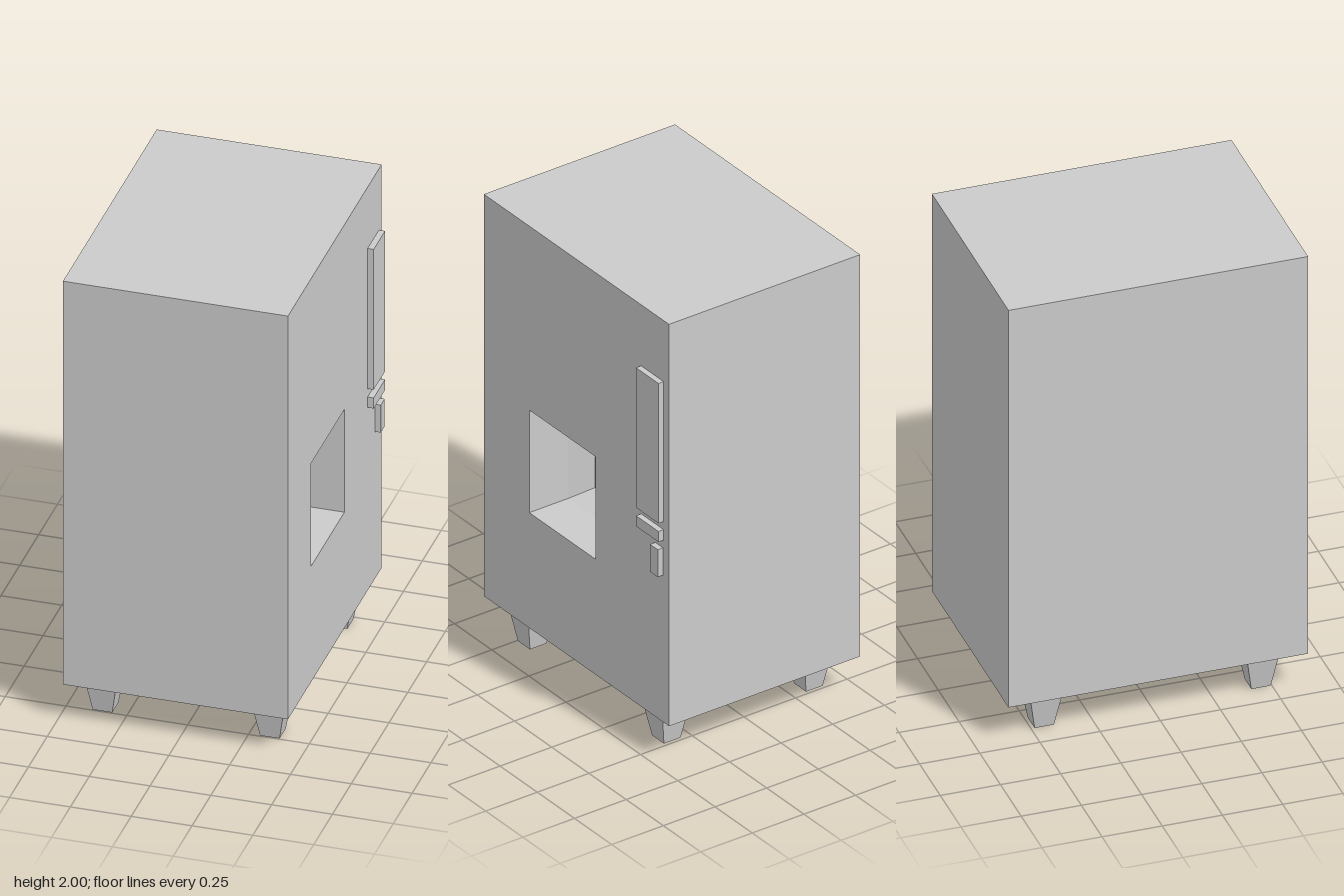
import * as THREE from 'three';
import { mergeGeometries } from 'three/addons/utils/BufferGeometryUtils.js';

const BOTTOM = 0.17, TOP = 2, BACK_X = -0.475, FACE_X = 0.45, HALF_Z = 0.622;

// Side-face drawings use u = -z, v = y, w = x, then turn onto the +x side
const rect = ([u0, v0, u1, v1]) => [[u0, v0], [u1, v0], [u1, v1], [u0, v1]];

// Quads joining nested rectangles, facing into the niche, closed by a back wall
function nicheGeometry(rings) {
  const corners = rings.map(({ r, depth }) => rect(r).map(([u, v]) => [u, v, FACE_X - depth]));
  const pos = [];
  const quad = (a, b, c, d) => pos.push(...a, ...b, ...c, ...a, ...c, ...d);
  for (let i = 0; i < corners.length - 1; i++) {
    const p = corners[i], q = corners[i + 1];
    for (let k = 0; k < 4; k++) {
      const n = (k + 1) % 4;
      quad(p[k], p[n], q[n], q[k]);
    }
  }
  quad(...corners[corners.length - 1]);
  const g = new THREE.BufferGeometry();
  g.setAttribute('position', new THREE.Float32BufferAttribute(pos, 3));
  g.computeVertexNormals();
  return g.rotateY(Math.PI / 2);
}

export function createModel() {
  const group = new THREE.Group();
  const material = new THREE.MeshStandardMaterial({ color: 0xcccccc });
  const add = (name, geometry, x = 0, y = 0, z = 0) => {
    const mesh = new THREE.Mesh(geometry, material);
    mesh.name = name;
    mesh.position.set(x, y, z);
    group.add(mesh);
    return mesh;
  };

  // Cabinet: a box whose +x side is replaced by a panel with an opening
  const opening = [-0.317, 0.695, 0.128, 1.162];
  const box = new THREE.BoxGeometry(FACE_X - BACK_X, TOP - BOTTOM, 2 * HALF_Z);
  box.setIndex(Array.from(box.index.array).slice(6));
  box.translate((FACE_X + BACK_X) / 2, (TOP + BOTTOM) / 2, 0);
  const toPoints = (r) => rect(r).map(([u, v]) => new THREE.Vector2(u, v));
  const side = new THREE.Shape(toPoints([-HALF_Z, BOTTOM, HALF_Z, TOP]));
  side.holes.push(new THREE.Path(toPoints(opening)));
  const face = new THREE.ShapeGeometry(side).translate(0, 0, FACE_X).rotateY(Math.PI / 2);
  add('cabinet', mergeGeometries([box, face]));

  // Dispensing niche: sloping ceiling first, then a tapered rear section
  add('dispensingNiche', nicheGeometry([
    { r: opening, depth: 0 },
    { r: [-0.317, 0.695, 0.128, 1.072], depth: 0.188 },
    { r: [-0.286, 0.722, 0.096, 1.038], depth: 0.295 },
  ]));

  // Raised control panels: name, y range, z range
  const panels = [
    ['selectionPanel', 1.085, 1.722, -0.586, -0.435],
    ['displayPanel', 1.0, 1.048, -0.586, -0.435],
    ['coinSlot', 0.838, 0.963, -0.581, -0.53],
  ];
  const panelDepth = 0.025;
  for (const [name, y0, y1, z0, z1] of panels) {
    add(name, new THREE.BoxGeometry(panelDepth, y1 - y0, z1 - z0),
      FACE_X + panelDepth / 2, (y0 + y1) / 2, (z0 + z1) / 2);
  }

  // Four tapered square feet
  const foot = new THREE.CylinderGeometry(0.14 / Math.SQRT2, 0.08 / Math.SQRT2, BOTTOM, 4)
    .rotateY(Math.PI / 4).toNonIndexed();
  foot.computeVertexNormals();
  for (const [xName, x] of [['Right', -0.352], ['Left', 0.336]]) {
    for (const [zName, z] of [['front', 0.455], ['back', -0.445]]) {
      add(`${zName}${xName}Foot`, foot, x, BOTTOM / 2, z);
    }
  }
  return group;
}
